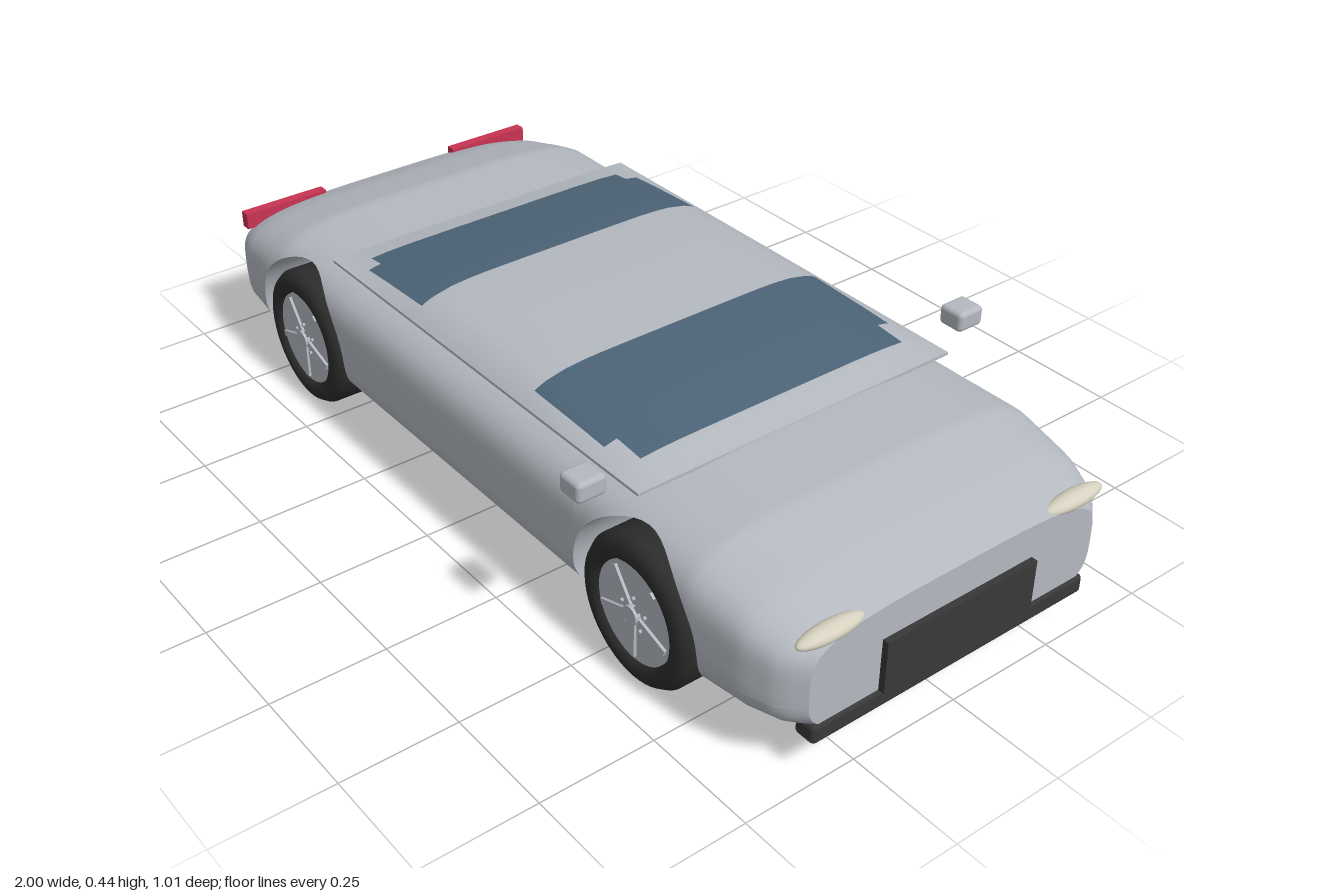
import * as THREE from 'three';
import { mergeGeometries } from 'three/addons/utils/BufferGeometryUtils.js';
import { RoundedBoxGeometry } from 'three/addons/geometries/RoundedBoxGeometry.js';

const WHEEL_X = 0.6, WHEEL_Y = 0.16, ARCH_Y = 0.165, ARCH_R = 0.18;
const REAR = -0.94, NOSE = 0.985;

// Linear interpolation through [x, value] points
function interp(pts, x) {
  for (let i = 1; i < pts.length; i++) {
    const [x0, v0] = pts[i - 1], [x1, v1] = pts[i];
    if (x <= x1) return v0 + (v1 - v0) * Math.max(0, (x - x0) / (x1 - x0));
  }
  return pts[pts.length - 1][1];
}

// Grid surface from a rule; keep(i, j) can leave out cells
function patch(fn, nu, nv, flip = false, keep = () => true) {
  const pos = [], all = [], kept = [];
  for (let j = 0; j <= nv; j++) for (let i = 0; i <= nu; i++) pos.push(...fn(i / nu, j / nv, i, j));
  for (let j = 0; j < nv; j++) for (let i = 0; i < nu; i++) {
    const a = j * (nu + 1) + i, b = a + 1, c = b + nu + 1, d = c - 1;
    const quad = flip ? [a, c, b, a, d, c] : [a, b, c, a, c, d];
    all.push(...quad);
    if (keep(i, j)) kept.push(...quad);
  }
  const g = new THREE.BufferGeometry();
  g.setAttribute('position', new THREE.Float32BufferAttribute(pos, 3));
  g.setIndex(all);
  g.computeVertexNormals();
  g.setIndex(kept);
  return g;
}

// Body section: a rounded-square curve whose width, top and bottom vary with x
const WIDTH = [[-0.94, 0.395], [-0.88, 0.42], [-0.75, 0.435], [0.75, 0.435], [0.88, 0.42], [0.95, 0.395], [0.985, 0.355]];
const TOP = [[-0.94, 0.31], [-0.85, 0.346], [-0.7, 0.385], [0.74, 0.385], [0.87, 0.355], [0.985, 0.31]];
const BOTTOM = [[-0.94, 0.09], [-0.75, 0.068], [-0.4, 0.065], [0.4, 0.065], [0.75, 0.068], [0.985, 0.088]];
function section(x) {
  const w = interp(WIDTH, x), t = interp(TOP, x), b = interp(BOTTOM, x);
  const cy = (t + b) / 2, h = (t - b) / 2;
  const zUnit = v => Math.pow(Math.max(0, 1 - v ** 4), 0.25);
  const unit = y => THREE.MathUtils.clamp((y - cy) / h, -1, 1);
  return {
    angle: y => Math.atan2(unit(y), zUnit(unit(y))),
    halfZ: y => w * zUnit(unit(y)),
    point(a) {
      const c = Math.max(0, Math.cos(a)), s = Math.sin(a), r = Math.pow(c ** 4 + s ** 4, -0.25);
      return [x, cy + h * r * s, w * r * c];
    },
  };
}
const archHalf = y => Math.sqrt(Math.max(0, ARCH_R ** 2 - (y - ARCH_Y) ** 2));

function bodyGeometry() {
  const parts = [];
  // Stations along the body, denser over the arches
  const xs = [];
  const span = (a, b, n) => { for (let i = 0; i < n; i++) xs.push(a + (b - a) * i / n); };
  const arch = c => { for (let i = 0; i < 28; i++) xs.push(c - ARCH_R * Math.cos(Math.PI * i / 28)); };
  span(REAR, -WHEEL_X - ARCH_R, 8);
  arch(-WHEEL_X);
  span(-WHEEL_X + ARCH_R, WHEEL_X - ARCH_R, 12);
  arch(WHEEL_X);
  span(WHEEL_X + ARCH_R, NOSE, 10);
  xs.push(NOSE);

  for (const side of [1, -1]) {
    // Upper shell, from the arches to the centre line of the roof
    parts.push(patch((u, v, i) => {
      const x = xs[i], s = section(x), d = Math.abs(Math.abs(x) - WHEEL_X);
      const y0 = ARCH_Y + Math.sqrt(Math.max(0, ARCH_R ** 2 - d * d));
      const a0 = s.angle(y0), p = s.point(a0 + (Math.PI / 2 - a0) * v);
      return [p[0], p[1], p[2] * side];
    }, xs.length - 1, 24, side < 0));
    // Lower shell: tail, sill and nose, bounded by the arch circles
    const lower = [
      [() => REAR, y => -WHEEL_X - archHalf(y)],
      [y => -WHEEL_X + archHalf(y), y => WHEEL_X - archHalf(y)],
      [y => WHEEL_X + archHalf(y), () => NOSE],
    ];
    for (const [from, to] of lower) parts.push(patch((u, v) => {
      const sample = x => {
        const s = section(x);
        return s.point(-Math.PI / 2 + (s.angle(ARCH_Y) + Math.PI / 2) * v);
      };
      let x = (from(ARCH_Y) * (1 - u) + to(ARCH_Y) * u);
      for (let k = 0; k < 3; k++) { const y = sample(x)[1]; x = from(y) * (1 - u) + to(y) * u; }
      const p = sample(x);
      return [p[0], p[1], p[2] * side];
    }, 10, 20, side < 0));
  }
  // Flat tail and nose
  for (const x of [REAR, NOSE]) parts.push(patch((u, v) => {
    const p = section(x).point(Math.PI * (v - 0.5));
    return [x, p[1], p[2] * (2 * u - 1)];
  }, 2, 40, x > 0));
  // Wheel tunnels running across the car
  for (const c of [-WHEEL_X, WHEEL_X]) parts.push(patch((u, v) => {
    const a = -0.58 + (Math.PI + 1.16) * u;
    const x = c + ARCH_R * Math.cos(a), y = ARCH_Y + ARCH_R * Math.sin(a);
    return [x, y, section(x).halfZ(y) * (2 * v - 1)];
  }, 44, 2, true));
  return mergeGeometries(parts);
}

// Shallow roof, split into painted and glazed cells
function roofGeometry(glass) {
  const divide = (marks, n) => marks.flatMap((m, k) => k === marks.length - 1 ? [m]
    : Array.from({ length: n }, (_, i) => m + (marks[k + 1] - m) * i / n));
  const xs = divide([-0.51, -0.45, -0.41, -0.2, 0.2, 0.42, 0.49, 0.56], 5);
  const zs = divide([-0.39, -0.36, -0.33, -0.2, 0, 0.2, 0.33, 0.36, 0.39], 3);
  const rise = [[-0.51, 0.05], [-0.45, 0.3], [-0.35, 0.65], [-0.2, 0.94], [0, 1], [0.2, 0.95], [0.35, 0.7], [0.49, 0.35], [0.56, 0.05]];
  const isGlass = (i, j) => {
    const x = (xs[i] + xs[i + 1]) / 2, z = Math.abs(zs[j] + zs[j + 1]) / 2;
    const inner = (x > -0.41 && x < -0.2) || (x > 0.2 && x < 0.42);
    const outer = (x > -0.45 && x < -0.2) || (x > 0.2 && x < 0.49);
    return (inner && z < 0.36) || (outer && z < 0.33);
  };
  return patch((u, v, i, j) => [xs[i], 0.386 + 0.049 * interp(rise, xs[i]) * (1 - Math.abs(zs[j] / 0.39) ** 7), zs[j]],
    xs.length - 1, zs.length - 1, true, (i, j) => isGlass(i, j) === glass);
}

export function createModel() {
  const mat = (name, color) => Object.assign(new THREE.MeshStandardMaterial({ color }), { name });
  const silver = mat('silver paint', 0xb4b9c0), glass = mat('tinted glass', 0x4c6477);
  const black = mat('black trim', 0x383838), rubber = mat('tyre rubber', 0x2c2c2c);
  const red = mat('red lens', 0xc83454), cream = mat('cream lens', 0xd6d1bf);
  const car = new THREE.Group();
  car.name = 'car';
  const add = (name, geo, material, x = 0, y = 0, z = 0, parent = car) => {
    const m = new THREE.Mesh(geo, material);
    m.name = name;
    m.position.set(x, y, z);
    parent.add(m);
    return m;
  };

  add('body', bodyGeometry(), silver);
  add('roof', roofGeometry(false), silver);
  add('windows', roofGeometry(true), glass);
  add('roofBase', new THREE.BoxGeometry(1.07, 0.006, 0.78), silver, 0.025, 0.383, 0);

  // Nose and tail trim
  add('grille', new THREE.BoxGeometry(0.03, 0.115, 0.375), black, 0.984, 0.177, 0);
  add('frontBumper', new RoundedBoxGeometry(0.05, 0.042, 0.69, 3, 0.01), black, 0.966, 0.1, 0);
  add('rearBumper', new RoundedBoxGeometry(0.05, 0.042, 0.69, 3, 0.01), black, -0.921, 0.1, 0);

  // Tyre and rim with its axis on y, outer face up
  const tyre = new THREE.LatheGeometry([[0, -0.058], [0.125, -0.058], [0.147, -0.052], [0.157, -0.036], [0.157, 0.036],
    [0.147, 0.052], [0.13, 0.058], [0.112, 0.057], [0.105, 0.045], [0.104, 0.03]].map(p => new THREE.Vector2(...p)), 48);
  const rim = new THREE.CylinderGeometry(0.106, 0.106, 0.03, 48);
  const spoke = new THREE.BoxGeometry(0.014, 0.01, 0.085);
  spoke.translate(0, 0, 0.055);
  const hub = new THREE.CylinderGeometry(0.02, 0.02, 0.014, 24);
  const bolt = new THREE.CylinderGeometry(0.004, 0.004, 0.008, 8);

  for (const side of [1, -1]) {
    for (const end of [1, -1]) {
      const wheel = new THREE.Group();
      wheel.name = (end > 0 ? 'front' : 'rear') + (side > 0 ? 'LeftWheel' : 'RightWheel');
      wheel.position.set(end * WHEEL_X, WHEEL_Y, side * 0.38);
      wheel.rotation.x = side * Math.PI / 2;
      add('tyre', tyre, rubber, 0, 0, 0, wheel);
      add('rim', rim, silver, 0, 0.034, 0, wheel);
      add('hub', hub, silver, 0, 0.054, 0, wheel);
      for (let i = 0; i < 5; i++) {
        const a = i * Math.PI * 2 / 5;
        add('spoke', spoke, silver, 0, 0.05, 0, wheel).rotation.y = a;
        add('bolt', bolt, silver, 0.035 * Math.sin(a + 0.63), 0.051, 0.035 * Math.cos(a + 0.63), wheel);
      }
      car.add(wheel);
    }
    add('mirror', new RoundedBoxGeometry(0.06, 0.044, 0.066, 3, 0.01), silver, 0.51, 0.42, side * 0.474);
    add('headlight', new THREE.SphereGeometry(1, 32, 16), cream, 0.97, 0.305, side * 0.303).scale.set(0.022, 0.017, 0.077);
    add('tailLight', new THREE.BoxGeometry(0.024, 0.038, 0.21), red, -0.93, 0.306, side * 0.285);
    add('exhaust', new THREE.CylinderGeometry(0.025, 0.025, 0.12, 32), silver, -0.94, 0.1, side * 0.227).rotation.z = Math.PI / 2;
  }
  return car;
}
